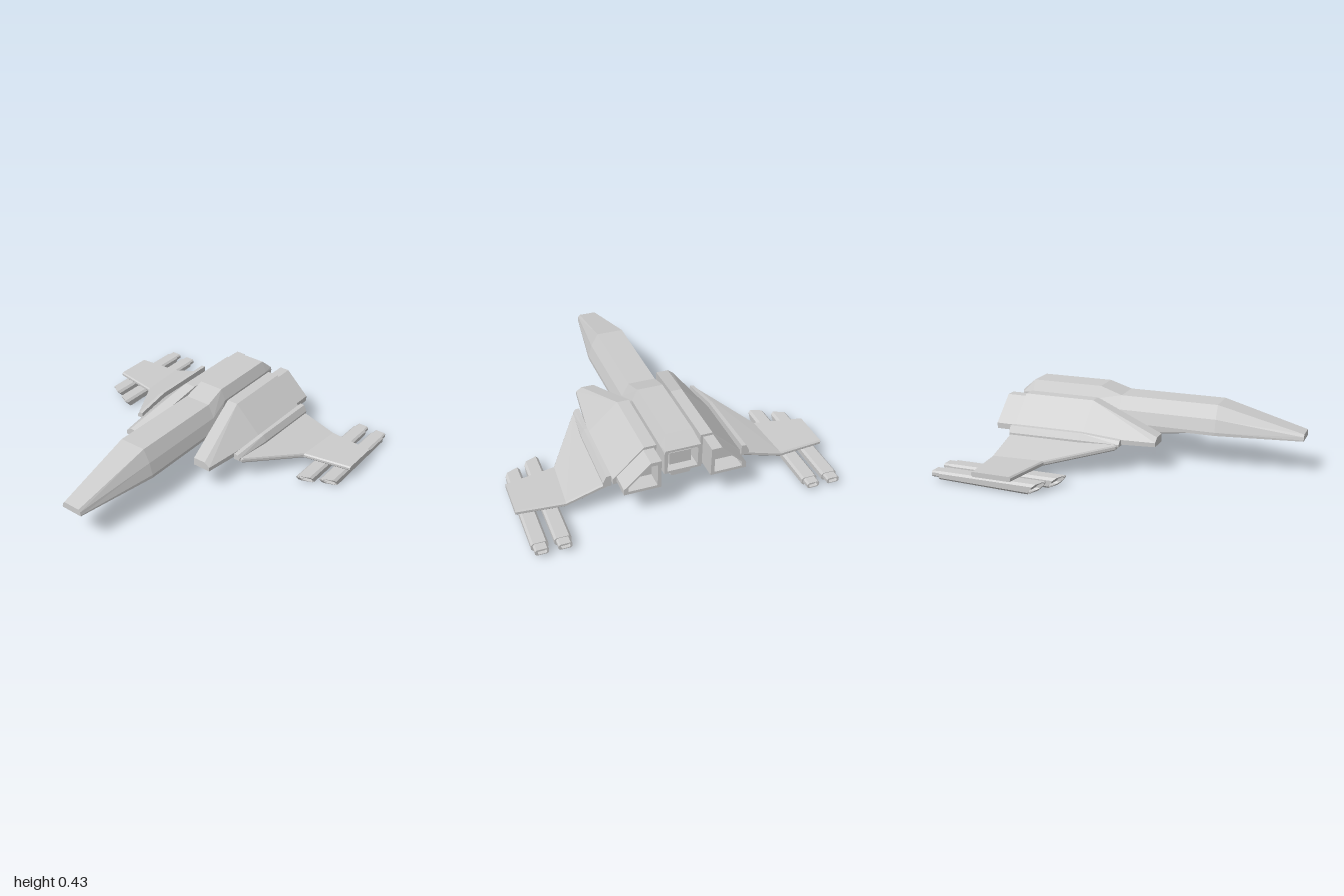
import * as THREE from 'three';

const material = new THREE.MeshStandardMaterial({ color: 0xcccccc, flatShading: true });

// Skin between equal-length rings of [x, y, z], with capped ends; faces always point outward.
function loft(name, rings) {
  const tris = [];
  const n = rings[0].length;
  for (let r = 0; r < rings.length - 1; r++) {
    for (let i = 0; i < n; i++) {
      const j = (i + 1) % n;
      const [a, b, c, d] = [rings[r][i], rings[r][j], rings[r + 1][j], rings[r + 1][i]];
      tris.push([a, b, c], [a, c, d]);
    }
  }
  const first = rings[0], last = rings[rings.length - 1];
  for (let i = 1; i < n - 1; i++) {
    tris.push([first[0], first[i + 1], first[i]], [last[0], last[i], last[i + 1]]);
  }
  const v = (p) => new THREE.Vector3(...p);
  const volume = tris.reduce((s, [a, b, c]) => s + v(a).dot(v(b).cross(v(c))), 0);
  const flat = tris.flatMap(([a, b, c]) => (volume < 0 ? [a, c, b] : [a, b, c])).flat();
  const geo = new THREE.BufferGeometry();
  geo.setAttribute('position', new THREE.Float32BufferAttribute(flat, 3));
  geo.computeVertexNormals();
  const mesh = new THREE.Mesh(geo, material);
  mesh.name = name;
  return mesh;
}

const at = (z, pts) => pts.map(([x, y]) => [x, y, z]);
const flip = (rings, s) => rings.map((ring) => ring.map(([x, y, z]) => [x * s, y, z]));

// Shrinks a ring around its centre and shifts it along z, for recessed openings.
function inset(ring, k, dz = 0) {
  const c = [0, 1].map((a) => ring.reduce((s, p) => s + p[a], 0) / ring.length);
  return ring.map(([x, y, z]) => [c[0] + (x - c[0]) * k, c[1] + (y - c[1]) * k, z + dz]);
}
const recess = (ring, k, depth) => [ring, inset(ring, k), inset(ring, k, depth)];

// Symmetric hull section: sill, shoulder and roof, each a half width and a height.
function hull(z, bottom, [w0, y0], [w1, y1], [w2, y2]) {
  const half = [[w0, bottom], [w0, y0], [w1, y1], [w2, y2]];
  return at(z, [...half, ...half.map(([x, y]) => [-x, y]).reverse()]);
}

// Rectangle with cut corners.
function octagon(cx, w, y0, y1, c) {
  const a = cx - w, b = cx + w;
  return [[a + c, y0], [b - c, y0], [b, y0 + c], [b, y1 - c],
    [b - c, y1], [a + c, y1], [a, y1 - c], [a, y0 + c]];
}

function fuselage() {
  const tail = hull(-0.81, 0.215, [0.11, 0.23], [0.11, 0.355], [0.105, 0.372]);
  return loft('fuselage', [
    hull(1, 0.215, [0.07, 0.222], [0.066, 0.24], [0.055, 0.255]),
    hull(0.48, 0.215, [0.15, 0.235], [0.128, 0.31], [0.085, 0.39]),
    hull(-0.14, 0.215, [0.15, 0.235], [0.128, 0.31], [0.085, 0.39]),
    hull(-0.28, 0.215, [0.112, 0.235], [0.112, 0.365], [0.08, 0.435]),
    hull(-0.74, 0.215, [0.112, 0.235], [0.112, 0.365], [0.08, 0.435]),
    ...recess(tail, 0.82, 0.14),
  ]);
}

function keel() {
  const ring = (z, w, y0, y1) => at(z, [[-w * 0.85, y0], [w * 0.85, y0], [w, y0 + (y1 - y0) * 0.3],
    [w, y1], [-w, y1], [-w, y0 + (y1 - y0) * 0.3]]);
  return loft('keel', [
    ring(0.33, 0.05, 0.185, 0.192), ring(-0.06, 0.07, 0.135, 0.192),
    ring(-0.66, 0.07, 0.135, 0.192), ring(-0.78, 0.06, 0.168, 0.192),
  ]);
}

function sidePod(s) {
  const body = [[0.133, 0.165], [0.388, 0.165], [0.388, 0.2], [0.205, 0.375], [0.133, 0.375]];
  return loft('sidePod', flip([
    at(0.17, [[0.215, 0.165], [0.33, 0.165], [0.33, 0.19], [0.295, 0.215], [0.215, 0.215]]),
    at(-0.28, body), at(-0.74, body),
  ], s));
}

function nozzle(s) {
  const lip = [[0.148, 0.18], [0.366, 0.18], [0.366, 0.215], [0.21, 0.36], [0.148, 0.36]];
  return loft('engineNozzle', flip([at(-0.73, lip), ...recess(at(-0.865, lip), 0.78, 0.1)], s));
}

function wing(s) {
  // Chord section with bevelled leading and trailing edges.
  const chord = (xf, xr, zf, zr, y0, y1) => {
    const e = 0.008;
    return [[xf, y0, zf - e], [xf, y0 + e, zf], [xf, y1 - e, zf], [xf, y1, zf - e],
      [xr, y1, zr + e], [xr, y1 - e, zr], [xr, y0 + e, zr], [xr, y0, zr + e]];
  };
  return loft('wing', flip([
    chord(0.375, 0.397, -0.03, -0.74, 0.158, 0.19),
    chord(0.42, 0.44, -0.045, -0.74, 0.146, 0.178),
    chord(0.64, 0.66, -0.41, -0.74, 0.08, 0.11),
    chord(0.94, 0.94, -0.465, -0.715, 0.08, 0.11),
  ], s));
}

function wingRoot(s) {
  return loft('wingRootFairing', flip([
    at(-0.03, [[0.368, 0.165], [0.41, 0.165], [0.41, 0.18], [0.395, 0.2], [0.37, 0.203]]),
    at(-0.28, [[0.392, 0.16], [0.435, 0.16], [0.435, 0.188], [0.415, 0.228], [0.392, 0.23]]),
    at(-0.74, [[0.397, 0.16], [0.445, 0.16], [0.445, 0.188], [0.425, 0.228], [0.397, 0.23]]),
  ], s));
}

// Under-wing cannon with a raked front, a rising belly and a stepped rear end.
function cannon(s, cx, front) {
  const mouth = octagon(cx, 0.047, 0.005, 0.07, 0.014)
    .map(([x, y]) => [x, y, front - (x - cx) * 0.42 - (0.07 - y) * 0.8]);
  const bore = inset(mouth, 0.72);
  const rear = at(-0.95, octagon(cx, 0.047, 0.02, 0.07, 0.012));
  const tip = octagon(cx, 0.038, 0.03, 0.066, 0.009);
  return loft('cannon', flip([
    inset(bore, 1, -0.03), bore, mouth, rear, at(-0.95, tip), ...recess(at(-1, tip), 0.7, 0.02),
  ], s));
}

export function createModel() {
  const model = new THREE.Group();
  model.name = 'spacecraft';
  model.add(fuselage(), keel());

  // Engine block inside the tail opening
  const engine = new THREE.Mesh(new THREE.BoxGeometry(0.13, 0.08, 0.12), material);
  engine.name = 'tailEngine';
  engine.position.set(0, 0.28, -0.71);
  model.add(engine);

  for (const s of [1, -1]) {
    const side = new THREE.Group();
    side.name = s > 0 ? 'leftSide' : 'rightSide';
    side.add(sidePod(s), nozzle(s), wing(s), wingRoot(s));
    side.add(cannon(s, 0.74, -0.25), cannon(s, 0.868, -0.315));
    model.add(side);
  }
  return model;
}
